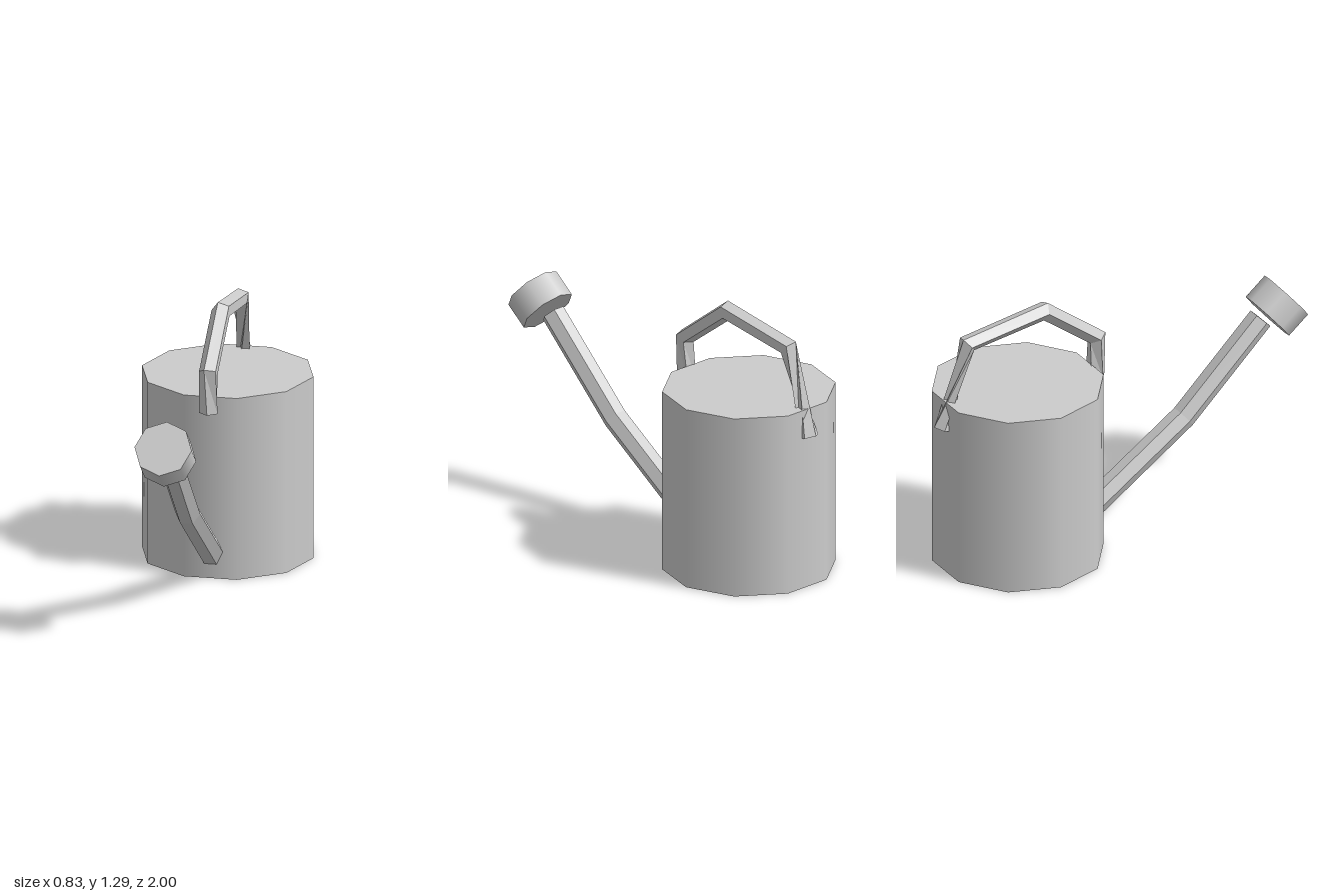
import * as THREE from 'three';

const metal = new THREE.MeshStandardMaterial({ color: 0xcccccc });
metal.name = 'grey metal';

// Faceted tube along [z, y] points in the x = 0 plane; startAngles gives each ring's first corner.
function facetedTube(path, radius, sides, startAngles) {
  const points = path.map(([z, y]) => new THREE.Vector3(0, y, z));
  const rings = points.map((p, k) => {
    const before = points[Math.max(k - 1, 0)];
    const after = points[Math.min(k + 1, points.length - 1)];
    const tangent = new THREE.Vector3();
    if (before !== p) tangent.add(p.clone().sub(before).normalize());
    if (after !== p) tangent.add(after.clone().sub(p).normalize());
    tangent.normalize();
    const normal = new THREE.Vector3(0, -tangent.z, tangent.y);
    return Array.from({ length: sides }, (_, i) => {
      const a = startAngles[k] - (i / sides) * Math.PI * 2;
      return p.clone().addScaledVector(normal, radius * Math.sin(a)).setX(radius * Math.cos(a));
    });
  });

  const corners = [];
  for (let k = 0; k < rings.length - 1; k++) {
    const r0 = rings[k], r1 = rings[k + 1];
    for (let i = 0; i < sides; i++) {
      const j = (i + 1) % sides;
      corners.push(r0[i], r0[j], r1[j], r0[i], r1[j], r1[i]);
    }
  }
  // End caps
  const first = rings[0], last = rings[rings.length - 1];
  for (let i = 1; i < sides - 1; i++) {
    corners.push(first[0], first[i + 1], first[i], last[0], last[i], last[i + 1]);
  }
  const geometry = new THREE.BufferGeometry().setFromPoints(corners);
  geometry.computeVertexNormals();
  return geometry;
}

export function createModel() {
  const model = new THREE.Group();
  model.name = 'wateringCan';
  const add = (name, geometry) => {
    const mesh = new THREE.Mesh(geometry, metal);
    mesh.name = name;
    model.add(mesh);
    return mesh;
  };

  // Ten-sided closed body
  const body = add('body', new THREE.CylinderGeometry(0.413, 0.413, 0.9, 10, 1, false, Math.PI / 2));
  body.position.set(0, 0.45, -0.545);

  // Six-sided spout, bent once
  add('spout', facetedTube([[-0.2, 0.1], [0.355, 0.487], [0.772, 0.9]], 0.06, 6, [0, 0, 0]));

  // Eight-sided sprinkler head, tilted forward
  const head = add('sprinklerHead', new THREE.CylinderGeometry(0.1375, 0.1375, 0.135, 8));
  head.position.set(0, 0.944, 0.861);
  head.rotation.x = 0.876;

  // Five-sided handle, twisted a quarter turn at both feet
  const side = Math.PI, out = Math.PI / 2;
  add('handle', facetedTube(
    [[-0.122, 0.832], [-0.118, 1.035], [-0.4, 1.247], [-0.818, 1.178], [-0.953, 0.765]],
    0.047, 5, [out, side, side, side, out]));

  return model;
}
